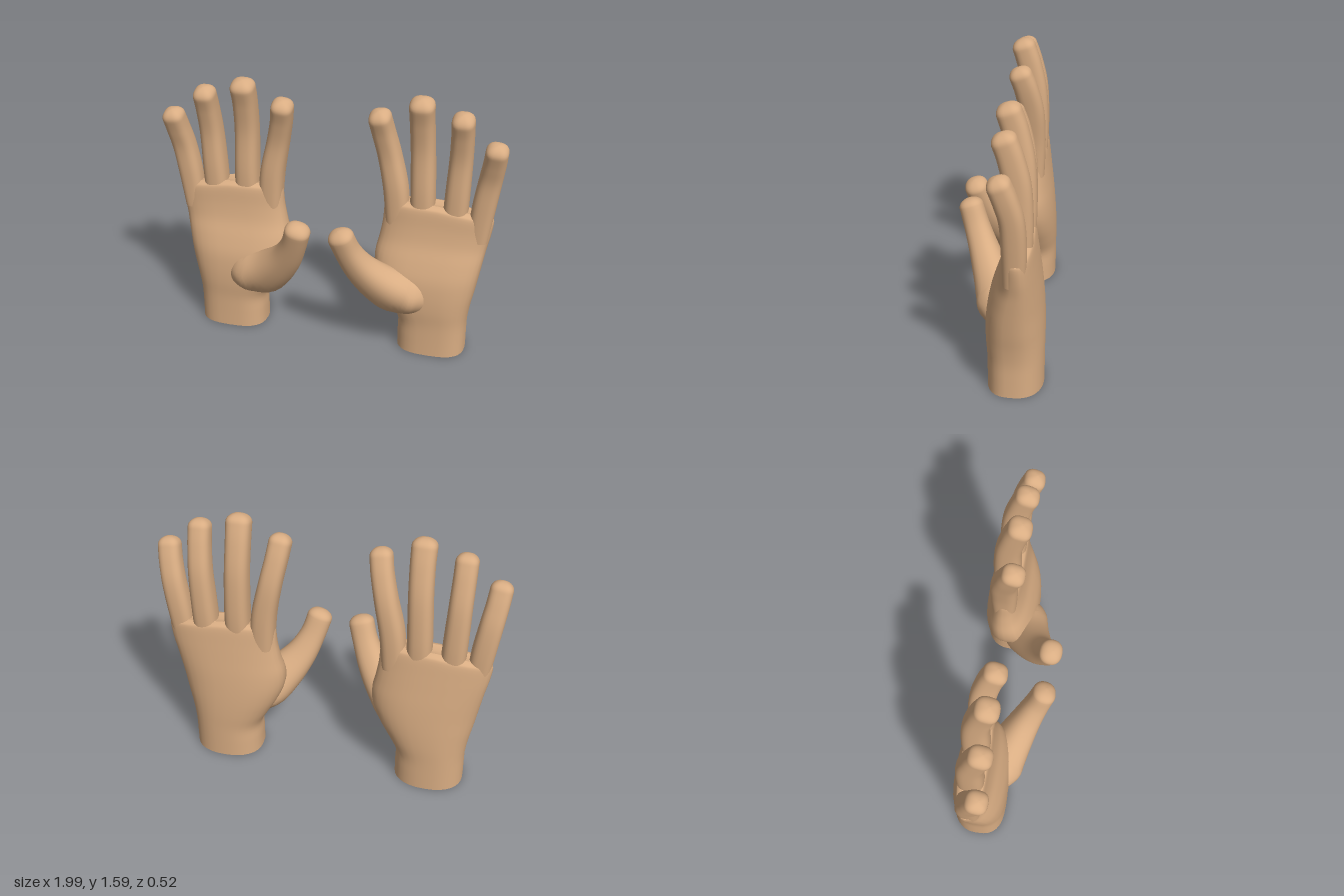
import * as THREE from 'three';

const SEGMENTS = 32;

// Skin a stack of closed rings (arrays of Vector3) and cap both ends; side -1 mirrors in x.
function loft(rings, side) {
  const pos = [], index = [];
  const n = SEGMENTS;
  const push = (p) => pos.push(p.x * side, p.y, p.z) / 3 - 1;
  const tri = (a, b, c) => (side > 0 ? index.push(a, b, c) : index.push(a, c, b));
  rings.forEach((ring) => ring.forEach(push));
  for (let r = 0; r < rings.length - 1; r++) {
    for (let i = 0; i < n; i++) {
      const j = (i + 1) % n, a = r * n, b = a + n;
      tri(a + i, b + i, a + j);
      tri(a + j, b + i, b + j);
    }
  }
  [rings[0], rings[rings.length - 1]].forEach((ring, end) => {
    const centre = ring.reduce((s, p) => s.add(p), new THREE.Vector3()).divideScalar(n);
    const c = push(centre);
    ring.forEach(push);
    for (let i = 0; i < n; i++) {
      const a = c + 1 + i, b = c + 1 + ((i + 1) % n);
      if (end) tri(c, b, a);
      else tri(c, a, b);
    }
  });
  const g = new THREE.BufferGeometry();
  g.setAttribute('position', new THREE.Float32BufferAttribute(pos, 3));
  g.setIndex(index);
  g.computeVertexNormals();
  return g;
}

// Unit superellipse coordinates; the exponent sets how boxy the outline is.
function outline(i, exponent) {
  const a = (i / SEGMENTS) * Math.PI * 2;
  const f = (v) => Math.sign(v) * Math.abs(v) ** (2 / exponent);
  return [f(Math.cos(a)), f(Math.sin(a))];
}

// Smooth interpolation through rows of numbers.
function sampleRows(rows, t) {
  const s = t * (rows.length - 1);
  const k = Math.min(Math.floor(s), rows.length - 2), f = s - k;
  const at = (i) => rows[Math.max(0, Math.min(rows.length - 1, i))];
  return rows[0].map((_, c) => {
    const [p, q, r, w] = [at(k - 1)[c], at(k)[c], at(k + 1)[c], at(k + 2)[c]];
    return q + 0.5 * f * (r - p + f * (2 * p - 5 * q + 4 * r - w + f * (3 * (q - r) + w - p)));
  });
}

// Wrist and palm sections: y, inner x, outer x, back z, front z
const PALM = [
  [0.00, 0.415, 0.82, -0.262, 0.05],
  [0.10, 0.415, 0.82, -0.262, 0.05],
  [0.20, 0.412, 0.822, -0.262, 0.052],
  [0.30, 0.36, 0.835, -0.263, 0.06],
  [0.40, 0.305, 0.855, -0.26, 0.06],
  [0.50, 0.268, 0.873, -0.253, 0.05],
  [0.60, 0.262, 0.89, -0.243, 0.022],
  [0.70, 0.282, 0.905, -0.23, -0.012],
  [0.80, 0.298, 0.922, -0.217, -0.03],
  [0.90, 0.305, 0.935, -0.203, -0.04],
  [0.925, 0.32, 0.925, -0.188, -0.055],
  [0.935, 0.36, 0.89, -0.165, -0.08],
];

function palmGeometry(side) {
  const rings = [], steps = 44;
  for (let k = 0; k <= steps; k++) {
    const [y, x0, x1, back, front] = sampleRows(PALM, k / steps);
    const cx = (x0 + x1) / 2, cz = (back + front) / 2;
    // the knuckle line drops towards the little finger
    const slope = 0.14 * THREE.MathUtils.smoothstep(y, 0.55, 0.9);
    rings.push(Array.from({ length: SEGMENTS }, (_, i) => {
      const domed = i > SEGMENTS / 2;
      const [u, v] = outline(i, domed ? 2.3 : 2.8);
      const x = cx + (u * (x1 - x0)) / 2;
      return new THREE.Vector3(x, y - slope * Math.max(0, x - 0.6), cz + (v * (front - back)) / 2);
    }));
  }
  return loft(rings, side);
}

// A finger swept through rows of x, y, z, half width, half depth, with a rounded tip
function fingerGeometry(rows, side, exponent, tip) {
  const steps = 24, capSteps = 7, rings = [];
  const addRing = (c, t, w, d) => {
    const u = new THREE.Vector3(1, 0, 0).addScaledVector(t, -t.x).normalize();
    const v = new THREE.Vector3().crossVectors(u, t);
    rings.push(Array.from({ length: SEGMENTS }, (_, i) => {
      const [a, b] = outline(i, exponent);
      return c.clone().addScaledVector(u, a * w).addScaledVector(v, b * d);
    }));
  };
  const point = (t) => new THREE.Vector3(...sampleRows(rows, t).slice(0, 3));
  for (let k = 0; k <= steps; k++) {
    const t = k / steps;
    const [, , , w, d] = sampleRows(rows, t);
    const dir = point(Math.min(1, t + 0.02)).sub(point(Math.max(0, t - 0.02))).normalize();
    addRing(point(t), dir, w, d);
    if (k < steps) continue;
    for (let j = 1; j <= capSteps; j++) {
      const a = (j / capSteps) * 1.5;
      addRing(point(1).addScaledVector(dir, tip * Math.sin(a)), dir, w * Math.cos(a), d * Math.cos(a));
    }
  }
  return loft(rings, side);
}

const FINGERS = {
  indexFinger: [
    [0.385, 0.78, -0.122, 0.07, 0.07], [0.367, 1.0, -0.12, 0.07, 0.077], [0.328, 1.2, -0.115, 0.065, 0.073],
    [0.296, 1.35, -0.085, 0.063, 0.069], [0.28, 1.445, -0.052, 0.063, 0.066],
  ],
  middleFinger: [
    [0.525, 0.78, -0.125, 0.07, 0.07], [0.523, 1.0, -0.125, 0.07, 0.08], [0.515, 1.25, -0.12, 0.068, 0.075],
    [0.51, 1.43, -0.088, 0.068, 0.071], [0.51, 1.54, -0.054, 0.07, 0.068],
  ],
  ringFinger: [
    [0.71, 0.78, -0.122, 0.07, 0.07], [0.72, 1.0, -0.122, 0.069, 0.077], [0.73, 1.22, -0.115, 0.065, 0.073],
    [0.736, 1.38, -0.082, 0.063, 0.069], [0.738, 1.475, -0.05, 0.063, 0.067],
  ],
  littleFinger: [
    [0.85, 0.74, -0.11, 0.06, 0.06], [0.874, 0.95, -0.11, 0.067, 0.066], [0.9, 1.12, -0.1, 0.066, 0.065],
    [0.92, 1.24, -0.07, 0.064, 0.064], [0.931, 1.325, -0.04, 0.063, 0.062],
  ],
};

// Ball of the thumb running out to the tip
const THUMB = [
  [0.6, 0.33, -0.06, 0.07, 0.07],
  [0.51, 0.36, -0.03, 0.135, 0.115],
  [0.41, 0.39, 0.005, 0.148, 0.12],
  [0.31, 0.47, 0.055, 0.12, 0.105],
  [0.22, 0.58, 0.11, 0.092, 0.085],
  [0.16, 0.7, 0.158, 0.075, 0.072],
  [0.127, 0.805, 0.192, 0.074, 0.068],
];

export function createModel() {
  const skin = new THREE.MeshStandardMaterial({ color: 0xd9ad83 });
  skin.name = 'skin';
  const model = new THREE.Group();
  model.name = 'pairOfHands';

  for (const side of [1, -1]) {
    const hand = new THREE.Group();
    hand.name = side > 0 ? 'leftHand' : 'rightHand';
    const add = (name, geometry) => {
      const mesh = new THREE.Mesh(geometry, skin);
      mesh.name = name;
      hand.add(mesh);
    };
    add('palmAndWrist', palmGeometry(side));
    for (const [name, rows] of Object.entries(FINGERS)) add(name, fingerGeometry(rows, side, 2.7, 0.05));
    add('thumb', fingerGeometry(THUMB, side, 2.3, 0.05));
    model.add(hand);
  }
  return model;
}
